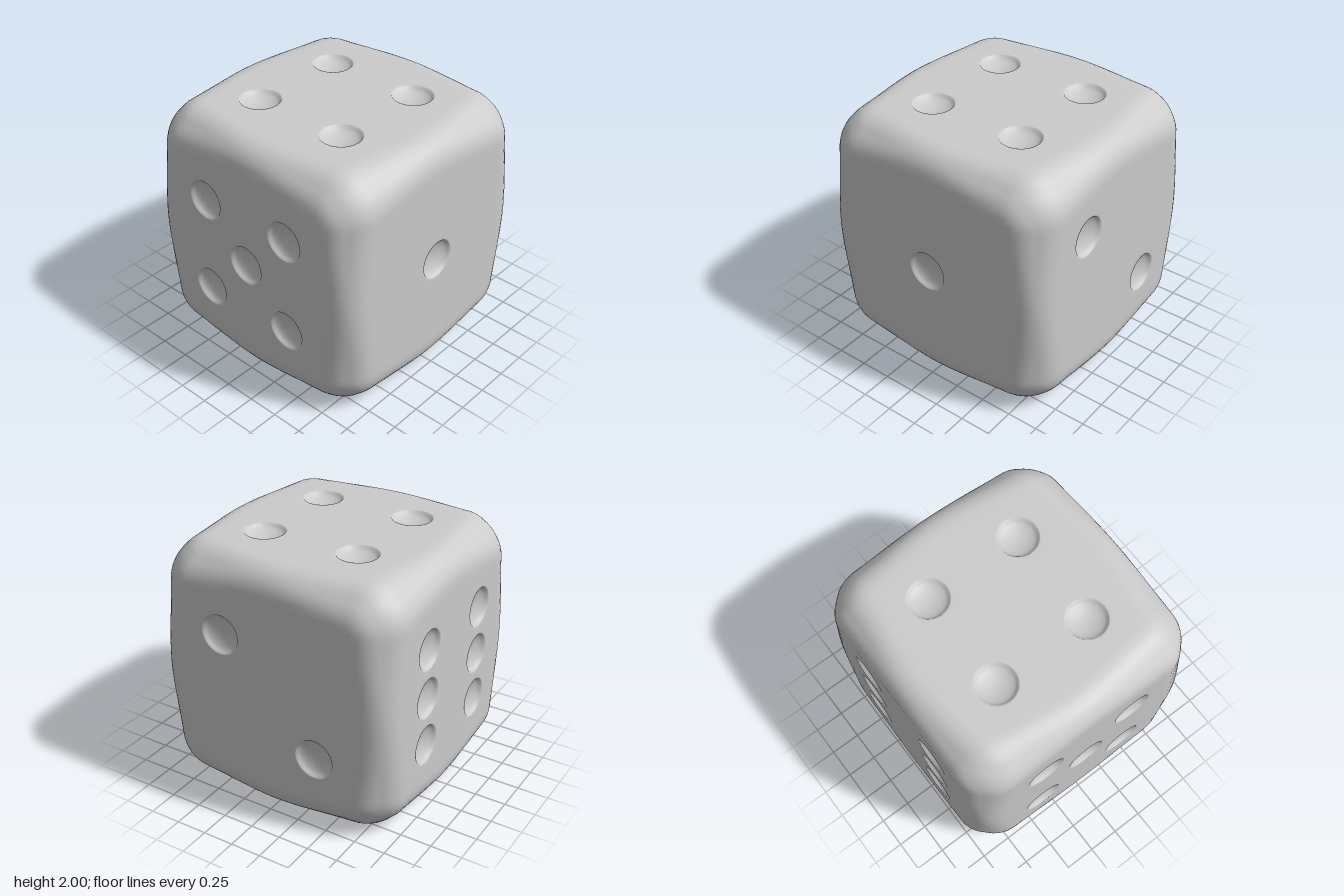
import * as THREE from 'three';
import { mergeVertices } from 'three/addons/utils/BufferGeometryUtils.js';

const CELL = 0.4;   // each face is a 5 x 5 layout of square cells
const STEPS = 8;    // divisions along a cell side
const D = 0.4;      // pip spacing

// Dent profile from rim to centre: [radius, depth]
const DENT = [[0.166, 0], [0.156, 0.002], [0.145, 0.019], [0.125, 0.033], [0.09, 0.046], [0.045, 0.054], [0, 0.057]];

// Face axes (u x v = n) and pip positions in u, v
const FACES = [
  { n: [0, 0, 1], u: [1, 0, 0], v: [0, 1, 0], pips: [[0, 0]] },
  { n: [1, 0, 0], u: [0, 0, -1], v: [0, 1, 0], pips: [[-D, D], [D, -D]] },
  { n: [0, -1, 0], u: [1, 0, 0], v: [0, 0, 1], pips: [[-D, -D], [0, 0], [D, D]] },
  { n: [0, 1, 0], u: [1, 0, 0], v: [0, 0, -1], pips: [[-D, -D], [D, -D], [-D, D], [D, D]] },
  { n: [-1, 0, 0], u: [0, 0, 1], v: [0, 1, 0], pips: [[-D, -D], [D, -D], [0, 0], [-D, D], [D, D]] },
  { n: [0, 0, -1], u: [-1, 0, 0], v: [0, 1, 0], pips: [[-D, -D], [-D, 0], [-D, D], [D, -D], [D, 0], [D, D]] },
];

// Rounds a point of the cube; corners get a larger radius than edge middles
function roundPoint(p) {
  const m = Math.abs(p.x * p.y * p.z);
  const r = 0.215 + 0.125 * THREE.MathUtils.smoothstep(m, 0, 0.8);
  const core = p.clone().clampScalar(r - 1, 1 - r);
  return p.sub(core).setLength(r).add(core);
}

// Points around the border of a square cell, counter-clockwise
function squareBorder() {
  const h = CELL / 2, pts = [];
  for (let side = 0; side < 4; side++) {
    for (let i = 0; i < STEPS; i++) {
      pts.push(new THREE.Vector2(h, -h + (CELL * i) / STEPS)
        .rotateAround(new THREE.Vector2(), (side * Math.PI) / 2));
    }
  }
  return pts;
}

function dieGeometry() {
  const positions = [], indices = [];
  const border = squareBorder();

  for (const face of FACES) {
    const [n, u, v] = [face.n, face.u, face.v].map((a) => new THREE.Vector3(...a));
    const addPoint = (a, b, depth = 0) => {
      const p = n.clone().addScaledVector(u, a).addScaledVector(v, b);
      roundPoint(p).addScaledVector(n, -depth);
      positions.push(p.x, p.y, p.z);
      return positions.length / 3 - 1;
    };

    // Plain cell: a square grid
    const plainCell = (cu, cv) => {
      const id = [];
      for (let j = 0; j <= STEPS; j++) {
        for (let i = 0; i <= STEPS; i++) {
          id.push(addPoint(cu + CELL * (i / STEPS - 0.5), cv + CELL * (j / STEPS - 0.5)));
        }
      }
      for (let j = 0; j < STEPS; j++) {
        for (let i = 0; i < STEPS; i++) {
          const a = j * (STEPS + 1) + i, c = a + STEPS + 1;
          indices.push(id[a], id[a + 1], id[c + 1], id[a], id[c + 1], id[c]);
        }
      }
    };

    // Pip cell: rings running from the square border into a round dent
    const pipCell = (cu, cv) => {
      const rings = [border.map((p) => addPoint(cu + p.x, cv + p.y))];
      for (const [r, depth] of DENT) {
        rings.push(border.map((p) => {
          const q = p.clone().setLength(r);
          return addPoint(cu + q.x, cv + q.y, depth);
        }));
      }
      for (let k = 0; k < rings.length - 1; k++) {
        const outer = rings[k], inner = rings[k + 1];
        for (let j = 0; j < border.length; j++) {
          const next = (j + 1) % border.length;
          indices.push(outer[j], outer[next], inner[j]);
          if (k < rings.length - 2) indices.push(outer[next], inner[next], inner[j]);
        }
      }
    };

    for (let j = -2; j <= 2; j++) {
      for (let i = -2; i <= 2; i++) {
        const cu = i * CELL, cv = j * CELL;
        const hasPip = face.pips.some(([a, b]) => Math.hypot(a - cu, b - cv) < 0.01);
        (hasPip ? pipCell : plainCell)(cu, cv);
      }
    }
  }

  // Welding joins cells and faces into one smooth surface
  const geometry = new THREE.BufferGeometry();
  geometry.setAttribute('position', new THREE.Float32BufferAttribute(positions, 3));
  geometry.setIndex(indices);
  const welded = mergeVertices(geometry, 1e-4);
  welded.computeVertexNormals();
  return welded;
}

export function createModel() {
  const group = new THREE.Group();
  group.name = 'die';
  const body = new THREE.Mesh(dieGeometry(), new THREE.MeshStandardMaterial({ color: 0xcccccc }));
  body.name = 'roundedBodyWithPips';
  body.position.y = 1;
  group.add(body);
  return group;
}
